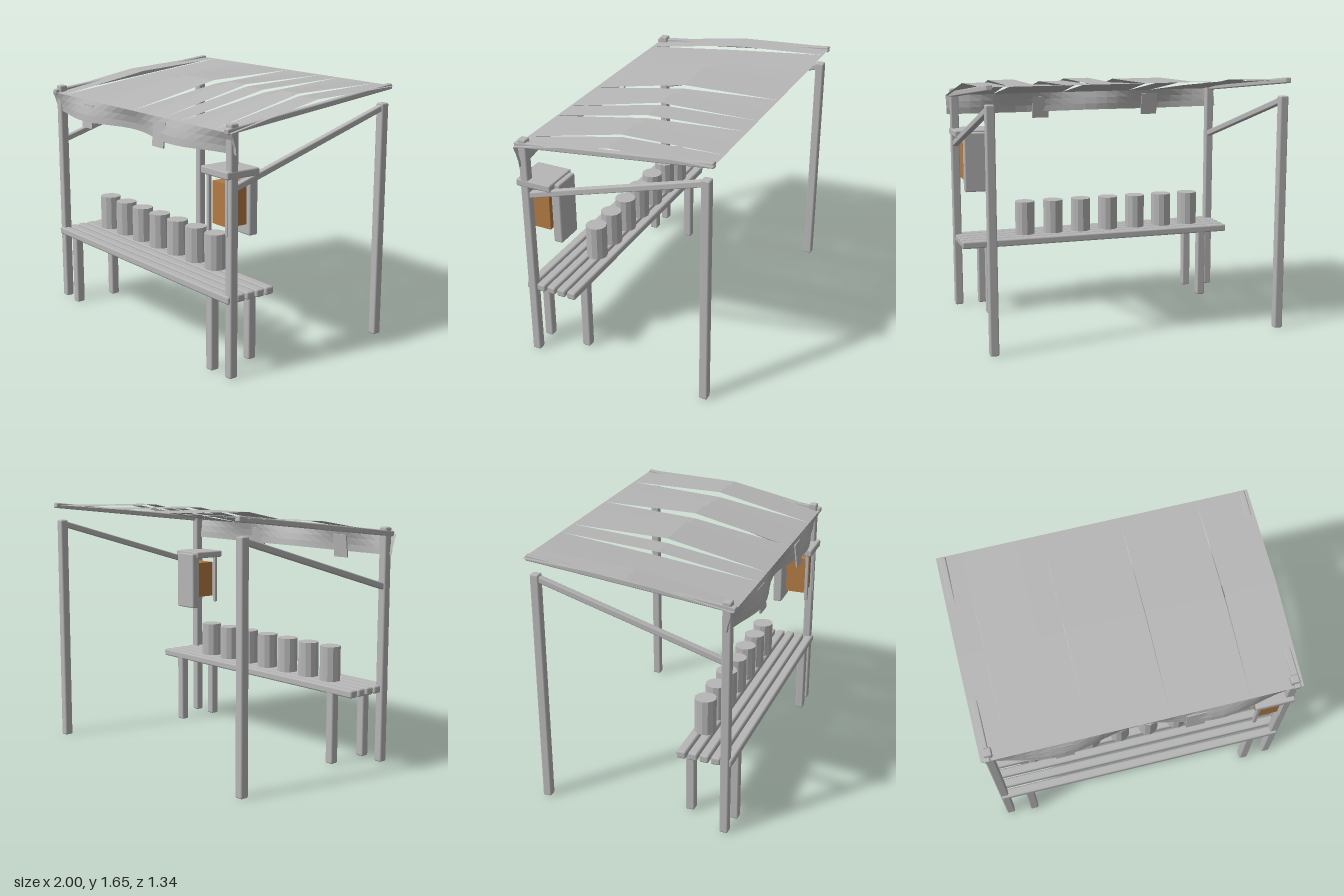
import * as THREE from 'three';
import { RoundedBoxGeometry } from 'three/addons/geometries/RoundedBoxGeometry.js';

export function createModel() {
  const group = new THREE.Group();
  group.name = 'marketStall';

  const grey = new THREE.MeshStandardMaterial({ color: 0xb6b6b6 });
  grey.name = 'weatheredGrey';
  const cloth = new THREE.MeshStandardMaterial({ color: 0xb6b6b6, side: THREE.DoubleSide, flatShading: true });
  cloth.name = 'greyCloth';
  const brown = new THREE.MeshStandardMaterial({ color: 0xb27a44 });
  brown.name = 'orangeBrown';

  const add = (name, geometry, material = grey) => {
    const mesh = new THREE.Mesh(geometry, material);
    mesh.name = name;
    group.add(mesh);
    return mesh;
  };
  // Softly bevelled timber filling the given ranges
  const timber = (name, [x0, x1], [y0, y1], [z0, z1], r = 0.01) => {
    const mesh = add(name, new RoundedBoxGeometry(x1 - x0, y1 - y0, z1 - z0, 1, r));
    mesh.position.set((x0 + x1) / 2, (y0 + y1) / 2, (z0 + z1) / 2);
    return mesh;
  };
  // Sloping timber from a back point to a front point, each [y, z]
  const slope = (name, x, w, h, [yb, zb], [yf, zf]) => {
    const mesh = add(name, new RoundedBoxGeometry(w, h, Math.hypot(yf - yb, zf - zb), 1, 0.008));
    mesh.position.set(x, (yb + yf) / 2, (zb + zf) / 2);
    mesh.rotation.x = Math.atan2(yb - yf, zf - zb);
  };
  // Open sheet over a grid of points
  const sheet = (name, cols, rows, point) => {
    const pos = [], index = [];
    for (let j = 0; j <= rows; j++)
      for (let i = 0; i <= cols; i++) pos.push(...point(i / cols, j / rows));
    for (let j = 0; j < rows; j++)
      for (let i = 0; i < cols; i++) {
        const a = j * (cols + 1) + i, b = a + cols + 1;
        index.push(a, b, a + 1, b, b + 1, a + 1);
      }
    const g = new THREE.BufferGeometry();
    g.setAttribute('position', new THREE.Float32BufferAttribute(pos, 3));
    g.setIndex(index);
    g.computeVertexNormals();
    return add(name, g, cloth);
  };

  // Frame: posts, rafters and braces on both sides
  for (const s of [-1, 1]) {
    const x = s * 0.95;
    timber('frontPost', [x - 0.028, x + 0.028], [0, 1.53], [0.557, 0.613]);
    timber('backPost', [x - 0.028, x + 0.028], [0, 1.53], [-0.645, -0.588]);
    slope('rafter', s * 0.96, 0.04, 0.036, [1.632, -0.667], [1.485, 0.638]);
    slope('brace', x, 0.04, 0.04, [1.5, -0.6], [1.15, 0.575]);
  }

  // Canopy strips, each bowed upward by its own amount
  const bows = [0.035, 0.005, 0.005, 0.03, 0.06, 0.06, 0.035, 0.07, 0.055, 0.035, 0.07, 0.055];
  bows.forEach((bow, k) => {
    sheet('canopyStrip', 1, 2, (u, v) => [
      -1 + (k + u) / 6,
      1.635 - 0.155 * v + (v === 0.5 ? bow : 0),
      -0.67 + 1.3 * v,
    ]);
  });

  // Valance: hanging front cloth with two waves
  sheet('valance', 24, 3, (u, v) => {
    const x = -1 + 2 * u;
    const wave = Math.cos(2 * Math.PI * (x + 0.53));
    return [x, 1.48 - (0.132 + 0.005 * wave) * v, 0.63 + 0.037 * wave * Math.sin((v * Math.PI) / 2)];
  });

  // Patches poking through the valance
  for (const x of [-0.5, 0.32]) {
    const patch = add('valancePatch', new THREE.BoxGeometry(0.12, 0.155, 0.009));
    patch.position.set(x, 1.378, 0.648);
    patch.rotation.x = -0.12;
  }

  // Bench: five slats on four legs
  for (let i = 0; i < 5; i++) {
    const z = 0.598 - 0.073 * i;
    timber('benchSlat', [-0.97, 0.97], [0.463, 0.513], [z - 0.03, z + 0.03], 0.012);
  }
  for (const x of [-0.78, 0.78])
    for (const z of [0.595, 0.306])
      timber('benchLeg', [x - 0.029, x + 0.029], [0, 0.48], [z - 0.029, z + 0.029]);

  // Row of faceted cans
  for (let i = 0; i < 7; i++) {
    const g = new THREE.CylinderGeometry(0.069, 0.069, 0.228, 12).toNonIndexed();
    g.computeVertexNormals();
    add('can', g).position.set(-0.695 + 0.2013 * i, 0.643, 0.367);
  }

  // Hanging cabinet beside the left front post
  timber('cabinetTop', [0.725, 0.98], [1.21, 1.258], [0.403, 0.642]);
  timber('cabinetBack', [0.738, 0.925], [0.838, 1.245], [0.37, 0.432]);
  timber('cabinetRod', [0.75, 0.775], [0.87, 1.215], [0.594, 0.618], 0.005);
  timber('cabinetRod', [0.925, 0.95], [0.87, 1.215], [0.594, 0.618], 0.005);
  add('cabinetBox', new THREE.BoxGeometry(0.14, 0.257, 0.14), brown).position.set(0.85, 1.042, 0.522);

  return group;
}
